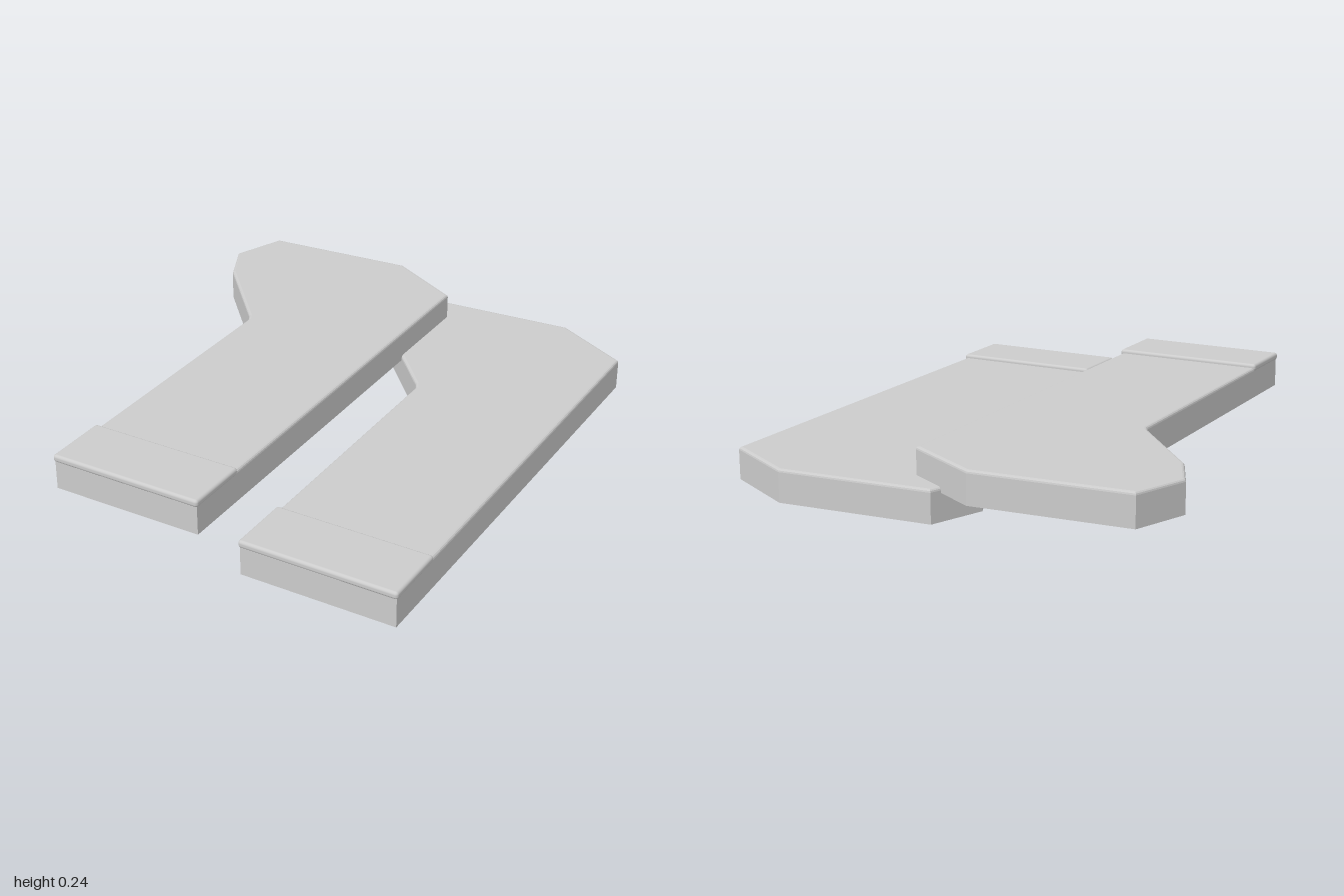
import * as THREE from 'three';
import { RoundedBoxGeometry } from 'three/addons/geometries/RoundedBoxGeometry.js';

// Sock outline seen from above, as [x, z]
const OUTLINE = [
  [0.265, 0.992], [0.848, 0.992], [0.848, -0.838], [0.557, -1.0],
  [-0.03, -0.96], [-0.108, -0.755], [-0.03, -0.59], [0.25, -0.275], [0.265, -0.245],
];
const BODY_TOP = 0.11;
const BEVEL = 0.011;

const material = new THREE.MeshStandardMaterial({ color: 0xcccccc });

function addPart(group, name, geometry) {
  const mesh = new THREE.Mesh(geometry, material);
  mesh.name = name;
  group.add(mesh);
  return mesh;
}

// Extrudes the outline upwards from y = 0
function extrudeUp(options) {
  const shape = new THREE.Shape(OUTLINE.map(([x, z]) => new THREE.Vector2(x, -z)));
  return new THREE.ExtrudeGeometry(shape, options).rotateX(-Math.PI / 2);
}

function makeSock(name) {
  const sock = new THREE.Group();
  sock.name = name;

  // Straight-sided body with a sharp lower edge
  addPart(sock, 'sockBody', extrudeUp({ depth: BODY_TOP, bevelEnabled: false }));

  // Softened upper edge; its lower bevel sits inside the body
  const top = extrudeUp({
    depth: 0.001, bevelThickness: BEVEL, bevelSize: BEVEL,
    bevelOffset: -BEVEL, bevelSegments: 3,
  });
  addPart(sock, 'sockTop', top).position.y = BODY_TOP - 0.001;

  // Rounded band across the opening
  const cuff = addPart(sock, 'cuff', new RoundedBoxGeometry(0.594, 0.028, 0.25, 4, 0.011));
  cuff.position.set(0.557, 0.122, 0.875);
  return sock;
}

export function createModel() {
  const model = new THREE.Group();
  model.name = 'pairOfSocks';

  const lower = makeSock('lowerSock');
  const upper = makeSock('upperSock');
  upper.position.set(-0.748, 0.101, 0);
  model.add(lower, upper);
  return model;
}
